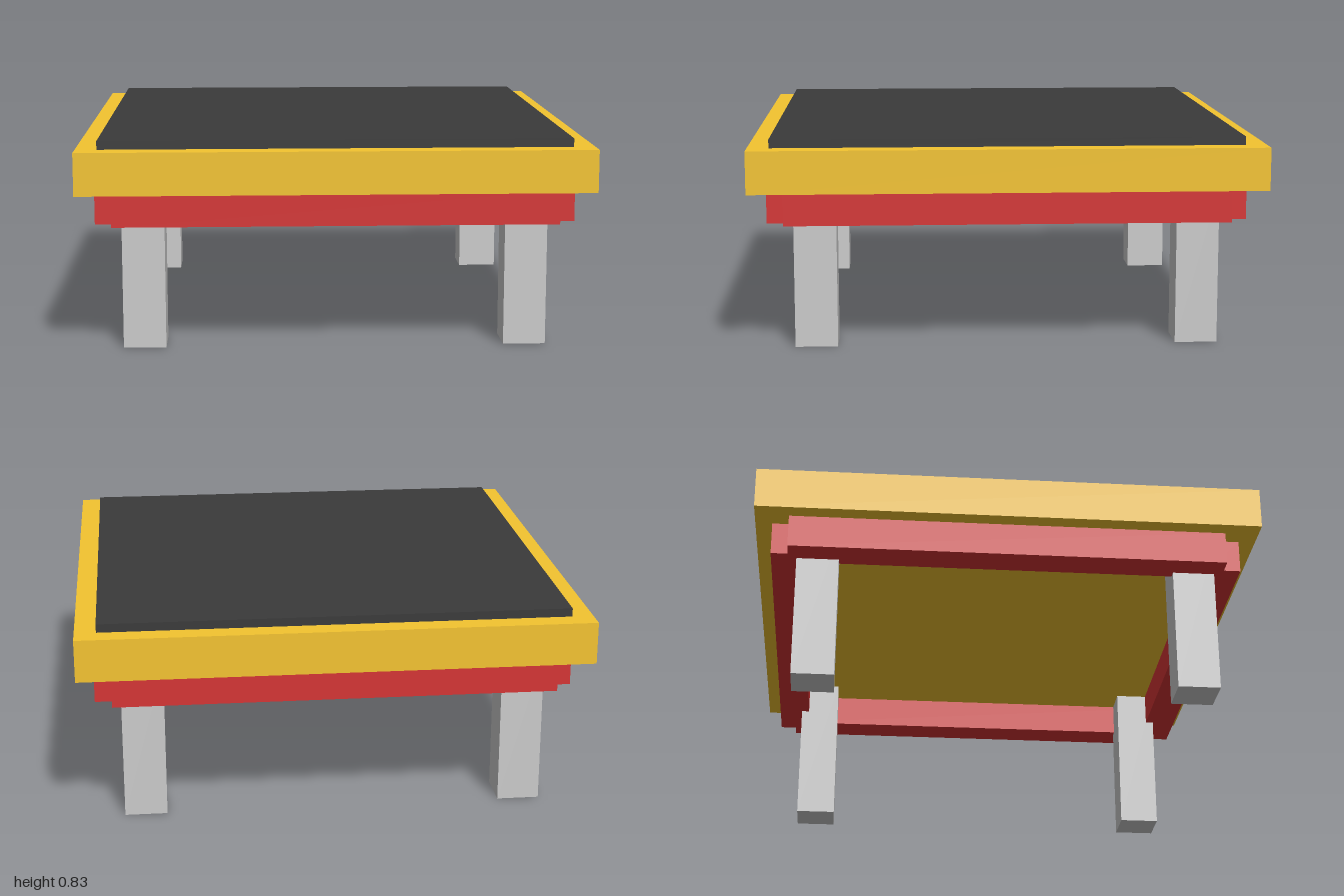
import * as THREE from 'three';

export function createModel() {
  const group = new THREE.Group();
  const paint = (color) => new THREE.MeshStandardMaterial({ color });
  const yellow = paint(0xf4c430);
  const red = paint(0xd63434);
  const dark = paint(0x3a3a3a);
  const grey = paint(0xcccccc);

  // Box standing on height y0
  const box = (name, material, [w, h, d], x, y0, z) => {
    const mesh = new THREE.Mesh(new THREE.BoxGeometry(w, h, d), material);
    mesh.name = name;
    mesh.position.set(x, y0 + h / 2, z);
    group.add(mesh);
  };

  const underside = 0.633;

  // Table top with a thin raised surface panel
  box('tableTop', yellow, [2, 0.167, 2], 0, underside, 0);
  box('surfacePanel', dark, [1.833, 0.033, 1.833], 0, 0.8, 0);

  for (const sx of [-1, 1]) {
    // Apron rails: overlapping at the corners, leaving small notches
    box(sx > 0 ? 'frontRail' : 'backRail', red, [1.733, 0.133, 0.133], 0, 0.5, sx * 0.867);
    box(sx > 0 ? 'leftRail' : 'rightRail', red, [0.133, 0.133, 1.733], sx * 0.867, 0.5, 0);

    // Square legs reaching up to the table top
    for (const sz of [-1, 1]) {
      const name = (sz > 0 ? 'front' : 'back') + (sx > 0 ? 'Left' : 'Right') + 'Leg';
      box(name, grey, [0.167, underside, 0.167], sx * 0.75, 0, sz * 0.75);
    }
  }
  return group;
}
